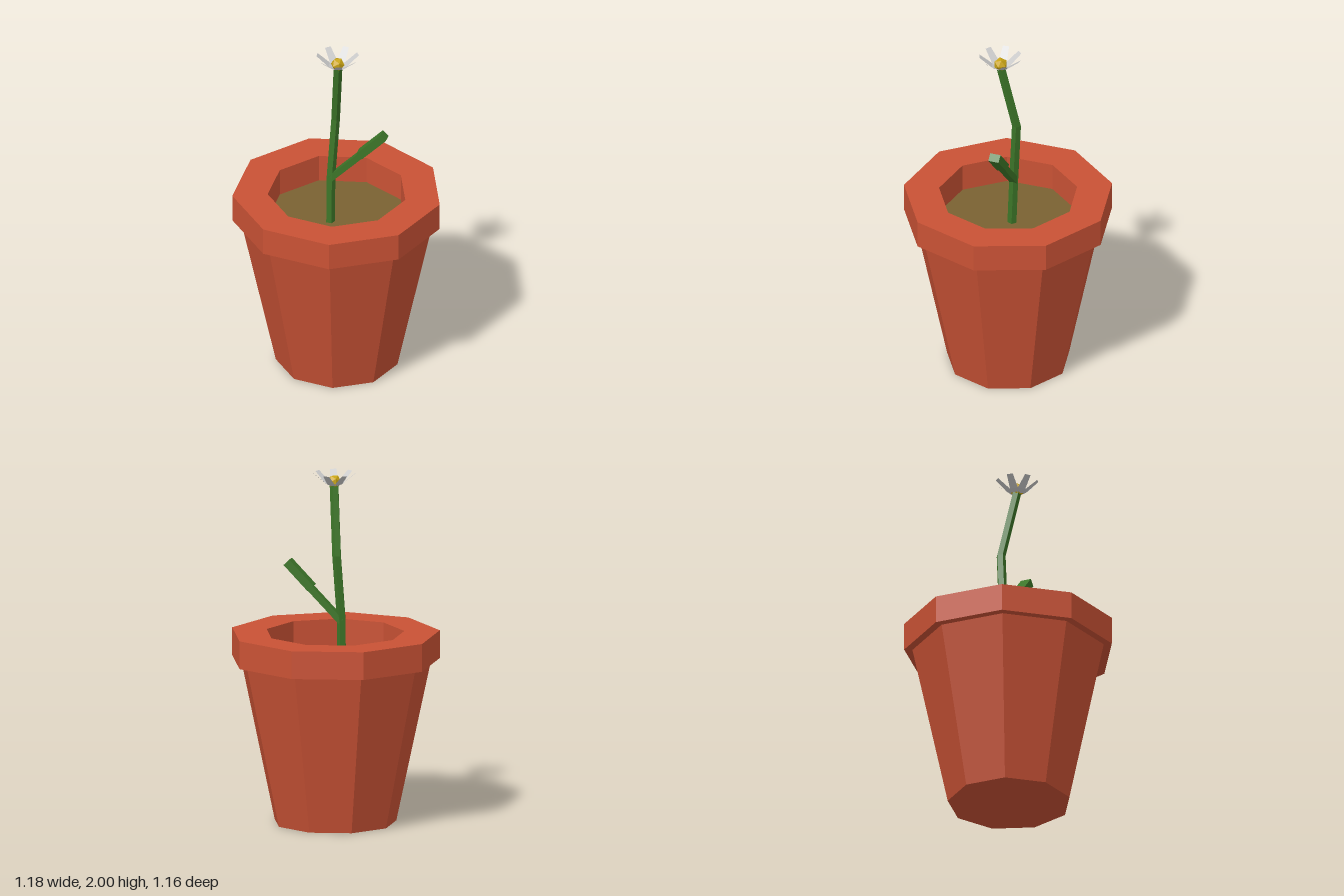
import * as THREE from 'three';

const mat = (color, extra = {}) => new THREE.MeshStandardMaterial({ color, flatShading: true, ...extra });
const V = (x, y, z) => new THREE.Vector3(x, y, z);

export function createModel() {
  const model = new THREE.Group();
  const clay = mat(0xc95235), soilMat = mat(0x7a6232), green = mat(0x3c7528);
  const petalMat = mat(0xdddddd, { side: THREE.DoubleSide }), yellow = mat(0xc9a414);

  const add = (name, geometry, material, parent = model) => {
    const mesh = new THREE.Mesh(geometry, material);
    mesh.name = name;
    parent.add(mesh);
    return mesh;
  };

  // Nine-sided pot pieces, one corner pointing to the back
  const turned = (name, profile, material) => {
    const points = profile.map(([r, y]) => new THREE.Vector2(r, y));
    add(name, new THREE.LatheGeometry(points, 9, Math.PI), material).position.z = 0.018;
  };
  turned('potBody', [[0, 0], [0.35, 0], [0.55, 0.93], [0.52, 0.93], [0.5, 0.84]], clay);
  turned('potRim', [[0.5, 0.93], [0.597, 0.93], [0.597, 1.09], [0.396, 1.09], [0.396, 0.93], [0.5, 0.93]], clay);
  turned('soil', [[0.51, 0.88], [0, 0.88]], soilMat);

  // Bent stem: each ring of a cylinder is moved onto a path point
  const path = [V(-0.035, 0.86, -0.01), V(-0.03, 1.17, -0.02), V(0, 1.54, -0.03), V(-0.01, 1.93, 0.058)];
  const stem = new THREE.CylinderGeometry(0.027, 0.027, 3, 5, 3);
  const pos = stem.attributes.position;
  for (let i = 0; i < pos.count; i++) {
    const p = path[Math.round(pos.getY(i) + 1.5)];
    pos.setXYZ(i, pos.getX(i) + p.x, p.y, pos.getZ(i) + p.z);
  }
  add('stem', stem, green);

  // Side shoot: a slim stalk that steps out into a broader blade
  const bar = (name, a, b, width, depth) => {
    const dir = b.clone().sub(a);
    const length = dir.length();
    dir.normalize();
    const side = V(0, 1, 0).cross(dir).normalize();
    const geometry = new THREE.BoxGeometry(width, length, depth);
    geometry.applyMatrix4(new THREE.Matrix4().makeBasis(side, dir, side.clone().cross(dir)));
    geometry.translate(...a.clone().add(b).multiplyScalar(0.5).toArray());
    add(name, geometry, green);
  };
  bar('leafStalk', V(-0.03, 1.16, -0.02), V(0.14, 1.36, 0.08), 0.043, 0.036);
  bar('leafBlade', V(0.12, 1.345, 0.072), V(0.24, 1.488, 0.144), 0.062, 0.046);

  // Flower: shallow cup, seven upturned petals and a faceted centre
  const flower = new THREE.Group();
  flower.name = 'flower';
  flower.position.set(-0.01, 1.915, 0.06);
  model.add(flower);
  const count = 7, half = Math.PI / count;
  const at = (r, y, a) => [r * Math.cos(a), y, r * Math.sin(a)];
  for (let i = 0; i < count; i++) {
    const a = i * 2 * half;
    const left = at(0.055, 0.027, a - half), right = at(0.055, 0.027, a + half);
    const tipL = at(0.12, 0.085, a - 0.15), tipR = at(0.12, 0.085, a + 0.15);
    const petal = new THREE.BufferGeometry();
    petal.setAttribute('position', new THREE.Float32BufferAttribute(
      [0, 0, 0, ...right, ...left, ...left, ...right, ...tipR, ...left, ...tipR, ...tipL], 3));
    petal.computeVertexNormals();
    add('petal', petal, petalMat, flower);
  }
  add('flowerCentre', new THREE.IcosahedronGeometry(0.04), yellow, flower).position.y = 0.035;

  return model;
}
